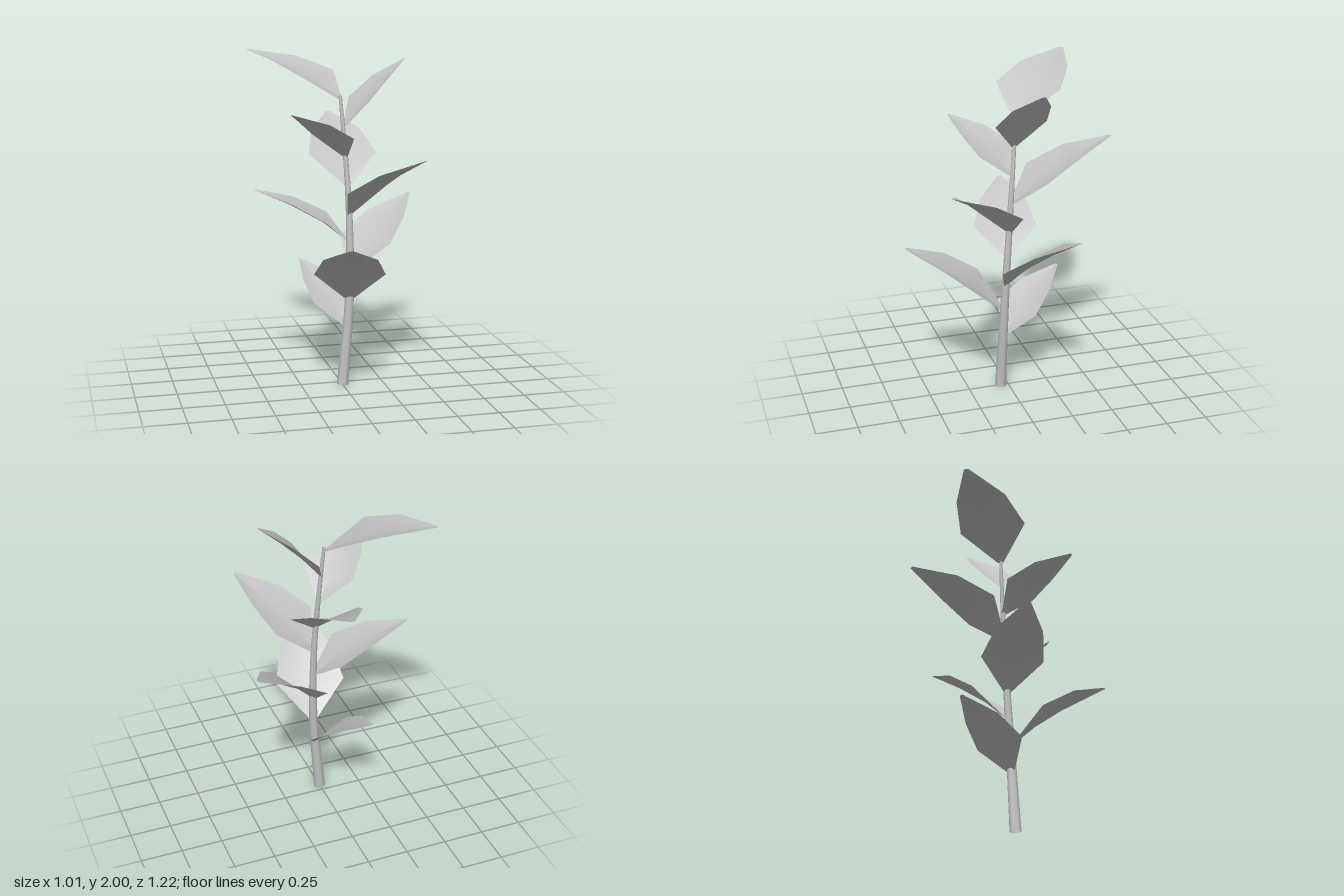
import * as THREE from 'three';

const V = (x, y, z) => new THREE.Vector3(x, y, z);

export function createModel() {
  const plant = new THREE.Group();
  plant.name = 'plant';
  const paleGrey = new THREE.MeshStandardMaterial({ color: 0xc4c4c4, side: THREE.DoubleSide });
  paleGrey.name = 'paleGrey';

  // Gently curved stem, tapering towards the top
  const curve = new THREE.CatmullRomCurve3([
    V(0, 0.005, 0.048), V(0.045, 0.54, 0.037), V(0.05, 1.05, 0.008), V(0.033, 1.4, -0.018), V(0.008, 1.75, -0.045),
  ]);
  const rings = 16, sides = 8;
  const stemGeo = new THREE.TubeGeometry(curve, rings, 1, sides, false);
  const pos = stemGeo.attributes.position, p = V(0, 0, 0);
  for (let i = 0; i <= rings; i++) {
    const centre = curve.getPointAt(i / rings);
    const radius = THREE.MathUtils.lerp(0.036, 0.01, i / rings);
    for (let j = 0; j <= sides; j++) {
      const k = i * (sides + 1) + j;
      p.fromBufferAttribute(pos, k).sub(centre).multiplyScalar(radius).add(centre);
      pos.setXYZ(k, p.x, p.y, p.z);
    }
  }
  const stem = new THREE.Mesh(stemGeo, paleGrey);
  stem.name = 'stem';
  plant.add(stem);

  // Leaf rows from base to tip, as fractions of leaf length:
  // distance along, half width, upward bow, depth of the fold at the midrib
  const rows = [
    [0, 0.025, 0, 0],
    [0.25, 0.29, 0.115, 0.055],
    [0.6, 0.215, 0.095, 0.045],
    [1, 0.018, 0, 0],
  ];

  function leafGeometry(base, tip) {
    const along = tip.clone().sub(base);
    const length = along.length();
    const side = V(-along.z, 0, along.x).normalize();
    const normal = side.clone().cross(along).normalize();
    if (normal.y < 0) normal.negate();
    const points = [], index = [];
    rows.forEach(([t, halfWidth, bow, fold], r) => {
      for (const s of [-1, 0, 1]) {
        const q = base.clone().addScaledVector(along, t).addScaledVector(side, s * halfWidth * length);
        q.y += bow * length;
        if (s === 0) q.addScaledVector(normal, -fold * length);
        points.push(q);
      }
      if (r === 0) return;
      for (let c = 0; c < 2; c++) {
        const a = (r - 1) * 3 + c, b = r * 3 + c;
        index.push(a, a + 1, b, a + 1, b + 1, b);
      }
    });
    const geo = new THREE.BufferGeometry().setFromPoints(points);
    geo.setIndex(index);
    geo.computeVertexNormals();
    // keep the front faces pointing up
    if (geo.attributes.normal.getY(4) < 0) {
      geo.setIndex(index.reverse());
      geo.computeVertexNormals();
    }
    return geo;
  }

  // Leaves spiral up the stem at even heights, each given by its tip
  const tips = [
    [-0.17, 0.70, -0.37], [-0.085, 0.96, 0.61], [0.5, 1.11, -0.28],
    [-0.5, 1.2, -0.1], [0.39, 1.42, 0.44], [0.065, 1.59, -0.61],
    [-0.345, 1.68, 0.265], [0.41, 1.96, -0.08], [-0.475, 2.0, -0.49],
  ];
  tips.forEach((tip, i) => {
    const y = 0.365 + i * 0.171;
    const base = curve.getPoint(0);
    // find the stem centre at this height
    for (let k = 0; k <= 200; k++) {
      const q = curve.getPoint(k / 200);
      if (q.y <= y) base.copy(q);
    }
    const leaf = new THREE.Mesh(leafGeometry(base, V(...tip)), paleGrey);
    leaf.name = 'leaf' + (i + 1);
    plant.add(leaf);
  });

  return plant;
}
